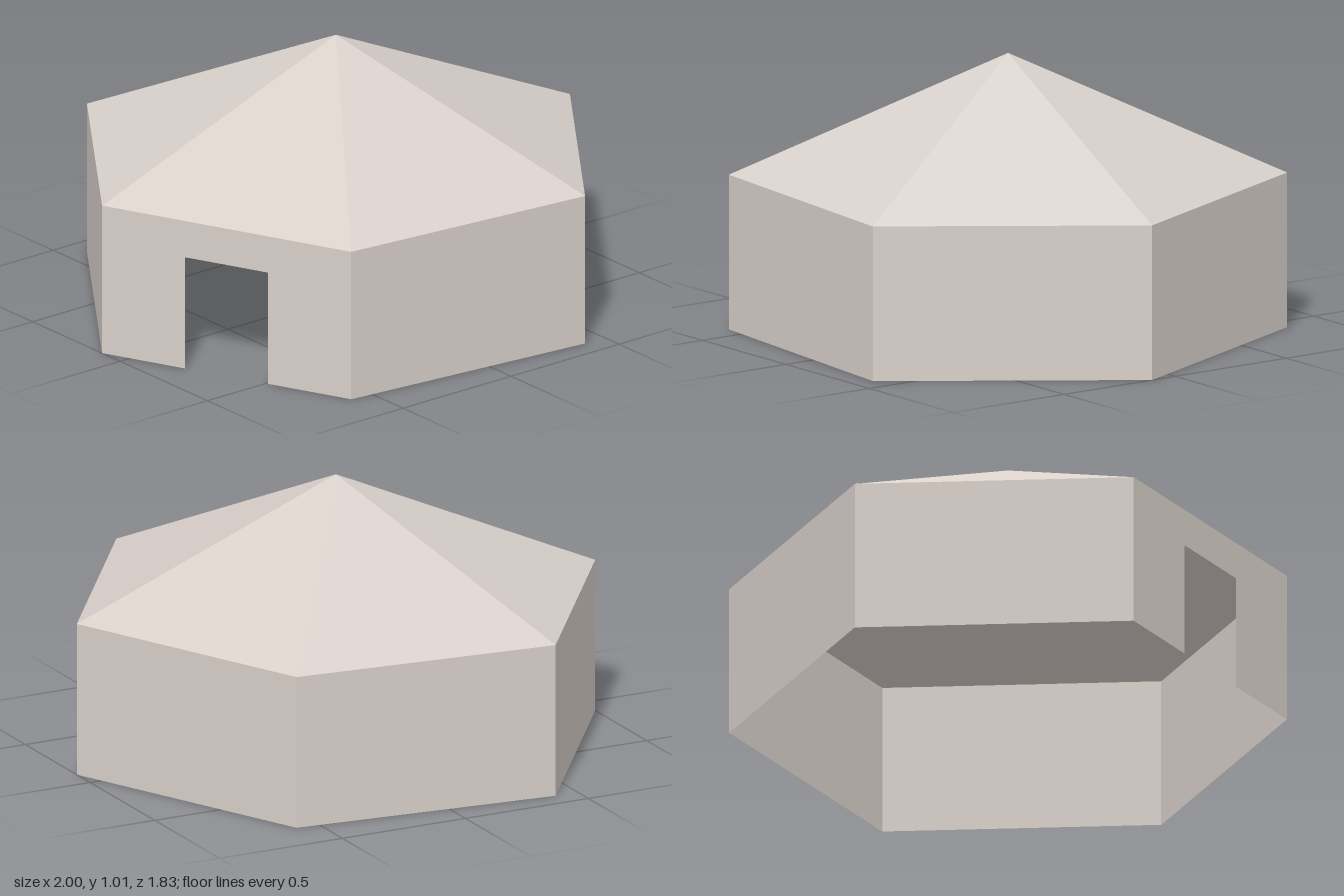
import * as THREE from 'three';

const SIDES = 6;
const RADIUS = 1.005;      // corner radius, also the side length of the hexagon
const WALL_HEIGHT = 0.57;
const PEAK = 1.015;
const TURN = THREE.MathUtils.degToRad(24.1); // angle of the first corner from +z
const DOOR_WALL = 4;       // wall that holds the doorway

// One thin wall panel, with an optional doorway a third of its width
function wallShape(hasDoor) {
  const w = RADIUS / 2, d = RADIUS / 6, doorHeight = 0.43;
  const points = [[-w, 0]];
  if (hasDoor) points.push([-d, 0], [-d, doorHeight], [d, doorHeight], [d, 0]);
  points.push([w, 0], [w, WALL_HEIGHT], [-w, WALL_HEIGHT]);
  return new THREE.Shape(points.map(([x, y]) => new THREE.Vector2(x, y)));
}

export function createModel() {
  const model = new THREE.Group();
  model.name = 'hexagonalHut';

  const paleStone = new THREE.MeshStandardMaterial({
    color: 0xd9d0ca, side: THREE.DoubleSide, flatShading: true,
  });
  paleStone.name = 'paleStone';

  // Ring of six walls, open underneath
  const walls = new THREE.Group();
  walls.name = 'walls';
  const apothem = RADIUS * Math.cos(Math.PI / SIDES);
  for (let i = 0; i < SIDES; i++) {
    const hasDoor = i === DOOR_WALL - 1 + 0 + 1 - 0;
    const wall = new THREE.Mesh(new THREE.ShapeGeometry(wallShape(hasDoor)), paleStone);
    const angle = TURN + (i + 0.5) * (2 * Math.PI / SIDES);
    wall.name = hasDoor ? 'doorwayWall' : 'wall';
    wall.rotation.y = angle;
    wall.position.set(apothem * Math.sin(angle), 0, apothem * Math.cos(angle));
    walls.add(wall);
  }
  model.add(walls);

  // Hollow six-sided roof meeting the wall tops
  const roofHeight = PEAK - WALL_HEIGHT;
  const roofShell = new THREE.ConeGeometry(RADIUS, roofHeight, SIDES, 1, true, TURN).toNonIndexed();
  roofShell.computeVertexNormals();
  const roof = new THREE.Mesh(roofShell, paleStone);
  roof.name = 'roof';
  roof.position.y = WALL_HEIGHT + roofHeight / 2;
  model.add(roof);

  return model;
}
